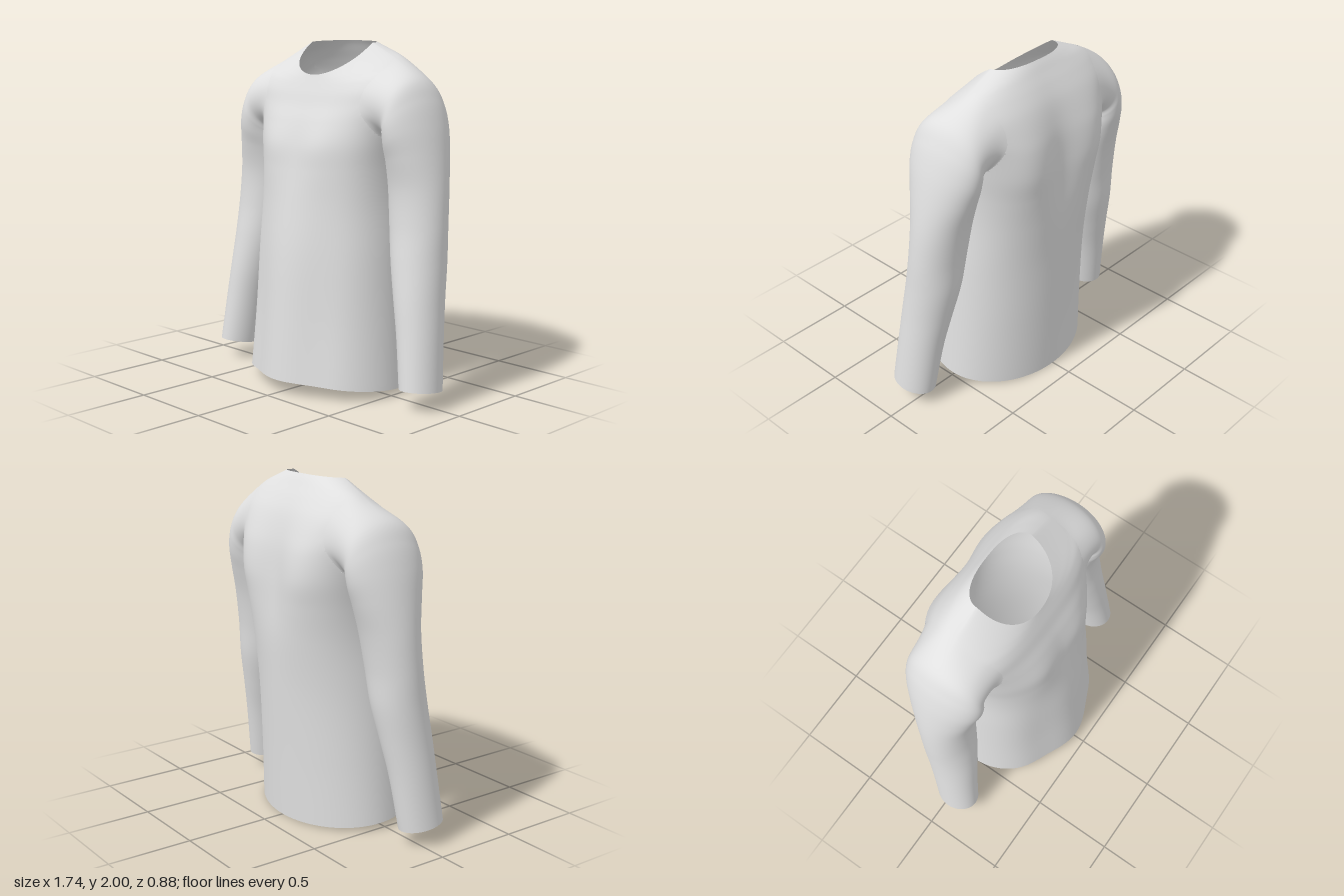
import * as THREE from 'three';

const COLS = 96;
const ROWS = 96;
const { smoothstep } = THREE.MathUtils;
const bell = (d, width) => Math.exp(-((d / width) ** 2));
const curveThrough = (points) => new THREE.CatmullRomCurve3(points, false, 'centripetal');

// Skin a tube from column curves sampled over 0..end, leaving out quads that skip() rejects
function skin(columns, rows, end = 1, skip = () => false) {
  const pos = [], index = [];
  for (let i = 0; i <= rows; i++) {
    for (const curve of columns) pos.push(...curve.getPoint((i / rows) * end).toArray());
  }
  for (let i = 0; i < rows; i++) {
    for (let j = 0; j < COLS; j++) {
      if (skip((j + 0.5) / COLS, (i + 0.5) / rows)) continue;
      const a = i * COLS + j, b = i * COLS + ((j + 1) % COLS);
      index.push(a, b, b + COLS, a, b + COLS, a + COLS);
    }
  }
  const g = new THREE.BufferGeometry();
  g.setAttribute('position', new THREE.Float32BufferAttribute(pos, 3));
  g.setIndex(index);
  g.computeVertexNormals();
  return g;
}

// Body rings: half width, side y, side z, front y, front z, back y, back z, squareness
const BODY = [
  [0.513, 0.04, 0.0, 0.08, 0.44, 0.0, -0.37, 2],
  [0.49, 0.4, -0.01, 0.42, 0.41, 0.4, -0.388, 2],
  [0.465, 0.8, -0.02, 0.81, 0.372, 0.8, -0.41, 2.1],
  [0.445, 1.1, -0.05, 1.1, 0.328, 1.1, -0.437, 2.3],
  [0.45, 1.3, -0.07, 1.28, 0.297, 1.3, -0.447, 2.5],
  [0.468, 1.45, -0.08, 1.42, 0.273, 1.45, -0.443, 2.7],
  [0.49, 1.58, -0.09, 1.55, 0.235, 1.6, -0.42, 2.9],
  [0.52, 1.68, -0.09, 1.64, 0.198, 1.7, -0.39, 3],
  [0.54, 1.77, -0.09, 1.71, 0.172, 1.8, -0.35, 2.9],
  [0.51, 1.845, -0.09, 1.755, 0.153, 1.88, -0.305, 2.6],
  [0.44, 1.895, -0.1, 1.783, 0.141, 1.94, -0.265, 2.4],
  [0.33, 1.95, -0.1, 1.8, 0.134, 1.977, -0.24, 2.3],
  [0.245, 1.99, -0.1, 1.81, 0.13, 2.0, -0.222, 2.3],
];

function bodyPoint([w, ys, zs, yf, zf, yb, zb, n], t) {
  const s = Math.sin(t), c = Math.cos(t), k = Math.abs(c);
  const r = Math.pow(Math.abs(s) ** n + k ** n, -1 / n);
  const x = w * s * r;
  const y = ys + ((c > 0 ? yf : yb) - ys) * k ** 1.1;
  let z = zs + ((c > 0 ? zf : zb) - zs) * k * r;
  if (c < 0) {
    // Spine hollow between fuller shoulder blades
    z += 0.035 * bell(x, 0.13) * bell(y - 1.42, 0.35);
    z -= 0.025 * k * bell(Math.abs(x) - 0.3, 0.14) * bell(y - 1.5, 0.22);
  } else {
    // Fuller chest, and cloth falling in flatter panels below it
    z += 0.018 * bell(Math.abs(x) - 0.18, 0.13) * bell(y - 1.4, 0.16);
    z -= 0.03 * bell(Math.abs(x) - 0.24, 0.14) * (1 - smoothstep(y, 0.5, 1.35));
  }
  return new THREE.Vector3(x, y, z);
}

const bodyColumn = (t) => curveThrough(BODY.map((r) => bodyPoint(r, t)));

// Armhole: an oval on the body, in angle from the side and height in ring steps
const HOLE = { middle: 7.6, height: 2.55, angle: 0.87 };

function inArmhole(u, v) {
  const fromSide = Math.abs(Math.PI * 2 * u - Math.PI) - Math.PI / 2;
  const up = v * (BODY.length - 1) - HOLE.middle;
  return (fromSide / HOLE.angle) ** 2 + (up / HOLE.height) ** 2 < 0.97;
}

function armholePoint(c, s, scale, side) {
  const t = Math.PI / 2 - HOLE.angle * scale * s;
  const v = (HOLE.middle + HOLE.height * scale * c) / (BODY.length - 1);
  const p = bodyColumn(t).getPoint(v);
  p.x *= side;
  return p;
}

// Sleeve rings from cuff to shoulder: inner x, inner y, outer x, outer y, front z, back z
const SLEEVE = [
  [0.65, 0.1, 0.87, 0.11, 0.18, -0.09],
  [0.6, 0.4, 0.845, 0.4, 0.155, -0.13],
  [0.553, 0.6, 0.828, 0.6, 0.138, -0.165],
  [0.503, 0.8, 0.816, 0.8, 0.115, -0.2],
  [0.468, 1.0, 0.807, 1.0, 0.092, -0.217],
  [0.45, 1.2, 0.788, 1.21, 0.09, -0.25],
  [0.453, 1.34, 0.755, 1.4, 0.12, -0.295],
  [0.465, 1.4, 0.715, 1.56, 0.148, -0.325],
  [0.475, 1.43, 0.667, 1.69, 0.153, -0.334],
  [0.478, 1.45, 0.602, 1.795, 0.142, -0.33],
];

function sleevePoint([xi, yi, xo, yo, zf, zb], i, c, s, side) {
  const tilt = i === 0 ? 0.017 : 0;
  return new THREE.Vector3(
    side * ((xi + xo) / 2 + ((xo - xi) / 2) * c),
    (yi + yo) / 2 + ((yo - yi) / 2) * c + tilt * s,
    (zf + zb) / 2 + ((zf - zb) / 2) * s,
  );
}

// Each sleeve column runs up to the armhole and is steered along the body just past it
function sleeveColumn(t, side) {
  const c = Math.cos(t), s = -side * Math.sin(t);
  return curveThrough([
    ...SLEEVE.map((r, i) => sleevePoint(r, i, c, s, side)),
    armholePoint(c, s, 1, side),
    armholePoint(c, s, 1.25, side),
  ]);
}

export function createModel() {
  const group = new THREE.Group();
  group.name = 'longSleeveShirt';
  const fabric = new THREE.MeshStandardMaterial({ color: 0xe0e0e0, side: THREE.DoubleSide });
  fabric.name = 'light grey fabric';

  const add = (name, geometry) => {
    const mesh = new THREE.Mesh(geometry, fabric);
    mesh.name = name;
    group.add(mesh);
  };
  const angles = Array.from({ length: COLS }, (_, j) => (j / COLS) * Math.PI * 2);

  // Body with open hem, neckline and armholes
  add('body', skin(angles.map(bodyColumn), ROWS, 1, inArmhole));

  // Sleeves with open cuffs, set into the armholes
  const end = (SLEEVE.length + 0.1) / (SLEEVE.length + 1);
  for (const side of [1, -1]) {
    const columns = angles.map((t) => sleeveColumn(t, side));
    add(side > 0 ? 'leftSleeve' : 'rightSleeve', skin(columns, ROWS, end));
  }
  return group;
}
